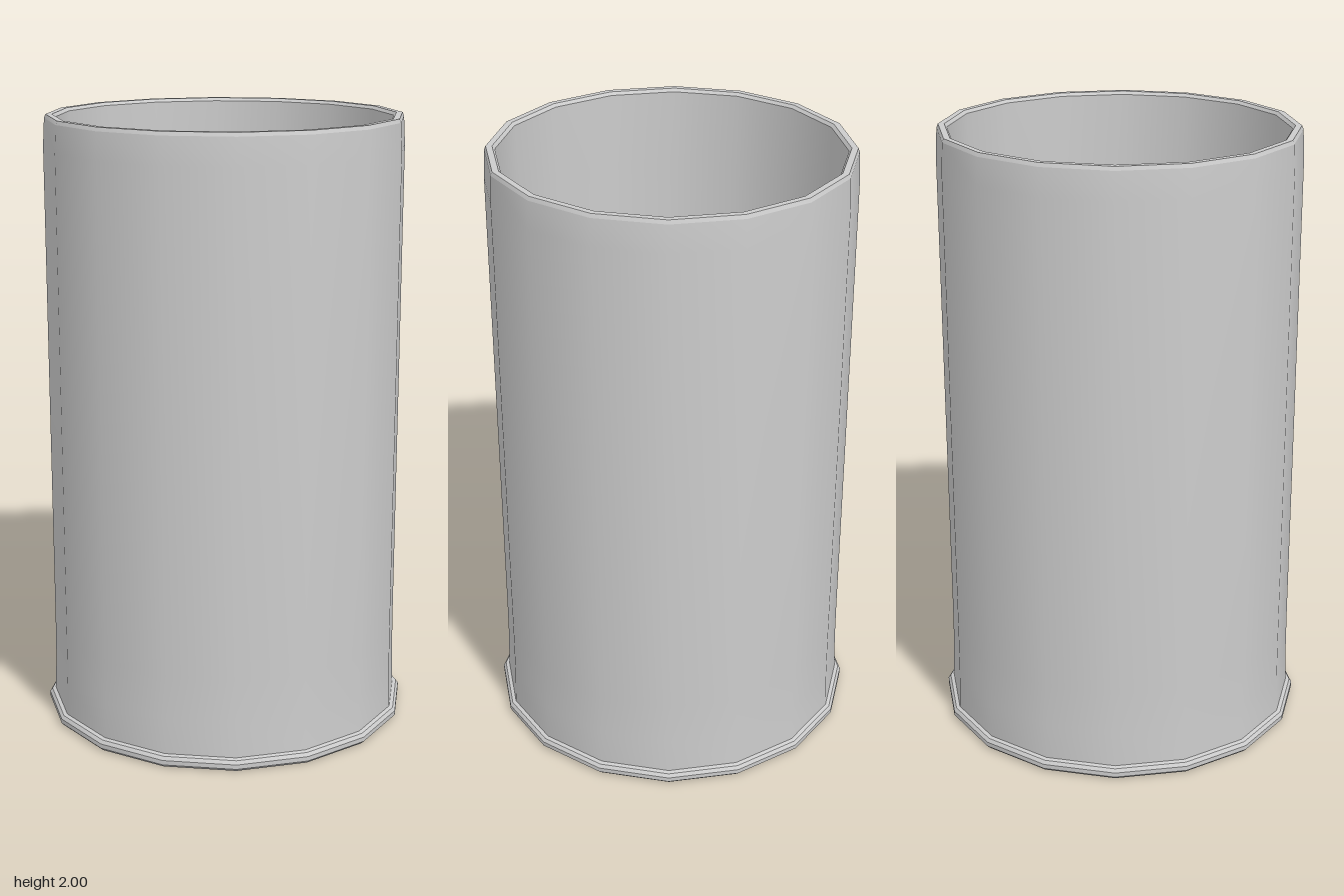
import * as THREE from 'three';
import { toCreasedNormals } from 'three/addons/utils/BufferGeometryUtils.js';

const SIDES = 16;
const material = new THREE.MeshStandardMaterial({ color: 0xcccccc });

// Revolves a [radius, height] profile; edges sharper than the crease angle stay hard
function lathe(name, profile, crease = 0.6) {
  const points = profile.map(([r, y]) => new THREE.Vector2(r, y));
  const geometry = new THREE.LatheGeometry(points, SIDES);
  const mesh = new THREE.Mesh(crease ? toCreasedNormals(geometry, crease) : geometry, material);
  mesh.name = name;
  return mesh;
}

export function createModel() {
  const group = new THREE.Group();
  group.name = 'openCylinder';

  // Flat underside and thin projecting foot flange
  group.add(lathe('baseFlange', [
    [0, 0], [0.595, 0], [0.605, 0.01], [0.605, 0.025], [0.597, 0.036], [0.585, 0.04],
  ]));

  // Outer wall, flaring slightly into the flange
  group.add(lathe('outerWall', [
    [0.585, 0.04], [0.581, 0.16], [0.58, 0.3], [0.58, 1.9], [0.575, 1.988],
  ]));

  // Flat lip with narrow bevels
  group.add(lathe('topRim', [
    [0.575, 1.988], [0.57, 2], [0.55, 2], [0.542, 1.99],
  ]));

  // Hollow inside: wall blending smoothly into the floor
  group.add(lathe('innerWallAndFloor', [
    [0.542, 1.99], [0.54, 1.75], [0.54, 0.07], [0.525, 0.05], [0.49, 0.04], [0, 0.04],
  ], 0));

  return group;
}
